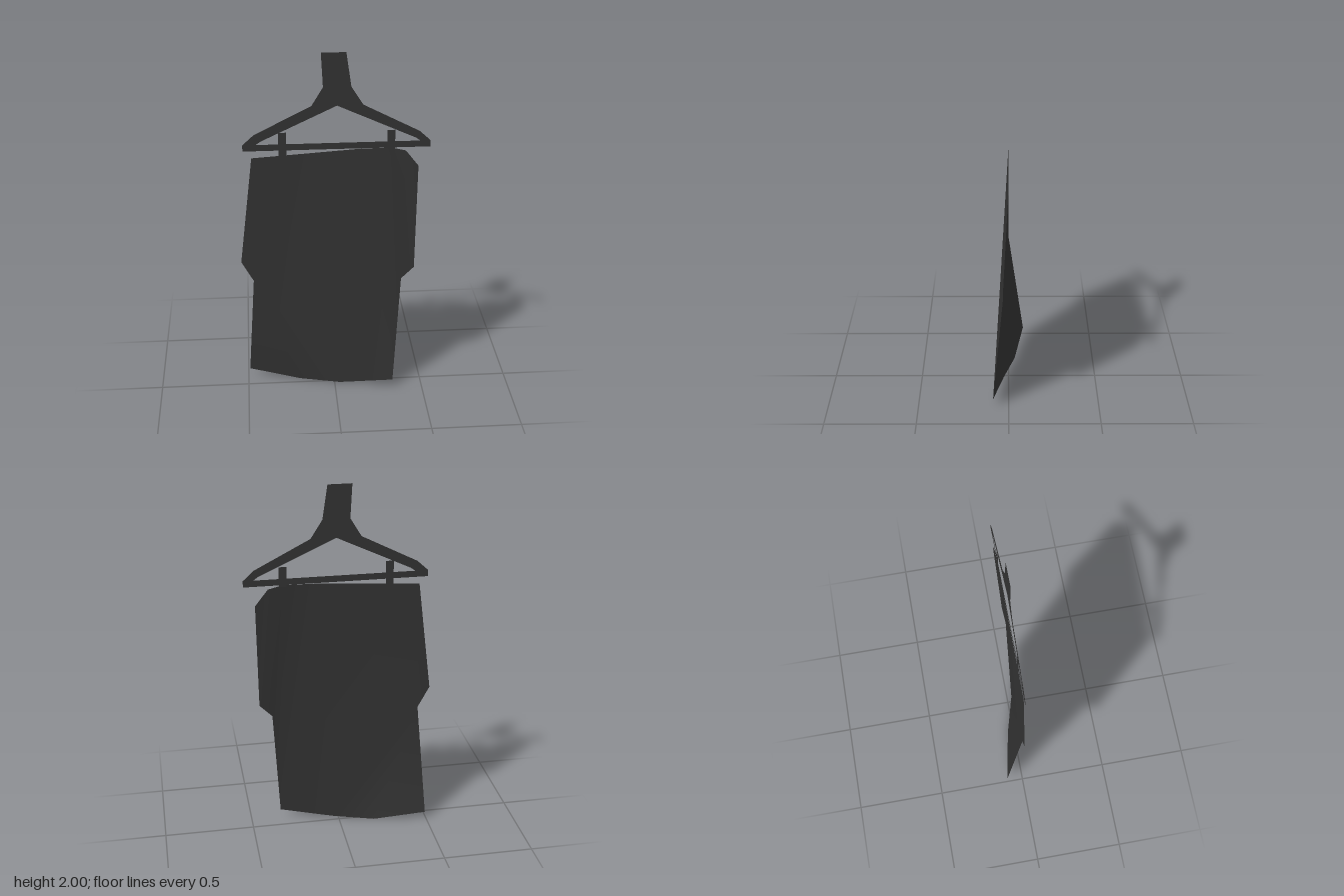
import * as THREE from 'three';

const material = new THREE.MeshStandardMaterial({ color: 0x333333, side: THREE.DoubleSide });
const toVectors = (points) => points.map(([x, y]) => new THREE.Vector2(x, y));

function addMesh(group, name, geometry) {
  const mesh = new THREE.Mesh(geometry, material);
  mesh.name = name;
  group.add(mesh);
  return mesh;
}

// Thin skirt sheet: outline corners, gently twisted towards the hem
function skirtGeometry() {
  const corners = [
    [-0.44, 1.43, 0], [0.13, 1.467, 0], [0.3, 1.47, 0], [0.38, 1.45, 0], // waist 0-3
    [0.45, 1.36, 0], [0.44, 0.76, 0.03], [0.37, 0.69, 0.03],             // left side 4-6
    [0.33, 0.05, 0.086], [0.03, 0.008, 0.028],                           // hem 7-10
    [-0.2, 0.002, -0.037], [-0.49, 0.05, -0.09],
    [-0.45, 0.69, 0], [-0.515, 0.81, 0],                                 // right side 11-12
  ];
  const faces = [
    [0, 12, 11], [0, 11, 1], [11, 8, 1], [11, 9, 8], [11, 10, 9],
    [1, 8, 7], [1, 7, 2], [2, 7, 6], [2, 6, 3], [3, 6, 5], [3, 5, 4],
  ];
  const geometry = new THREE.BufferGeometry();
  geometry.setAttribute('position', new THREE.Float32BufferAttribute(corners.flat(), 3));
  geometry.setIndex(faces.flat());
  geometry.computeVertexNormals();
  return geometry;
}

export function createModel() {
  const group = new THREE.Group();
  group.name = 'skirtOnHanger';

  // Flat hanger with its neck, sloping arms and lower bar
  const outline = new THREE.Shape(toVectors([
    [-0.07, 2], [-0.06, 1.815], [-0.12, 1.715], [-0.425, 1.56], [-0.485, 1.505], [-0.485, 1.47],
    [0.51, 1.47], [0.51, 1.505], [0.45, 1.56], [0.15, 1.715], [0.087, 1.815], [0.06, 2],
  ]));
  outline.holes.push(new THREE.Path(toVectors([
    [0.013, 1.713], [0.43, 1.523], [0.455, 1.505], [-0.415, 1.505], [-0.39, 1.523],
  ])));
  addMesh(group, 'hanger', new THREE.ShapeGeometry(outline));

  // Two flat clips holding the waist
  for (const [name, x, bottom] of [['rightClip', -0.275, 1.43], ['leftClip', 0.3, 1.46]]) {
    const height = 1.57 - bottom;
    addMesh(group, name, new THREE.PlaneGeometry(0.042, height))
      .position.set(x, bottom + height / 2, 0);
  }

  addMesh(group, 'skirt', skirtGeometry());
  return group;
}
